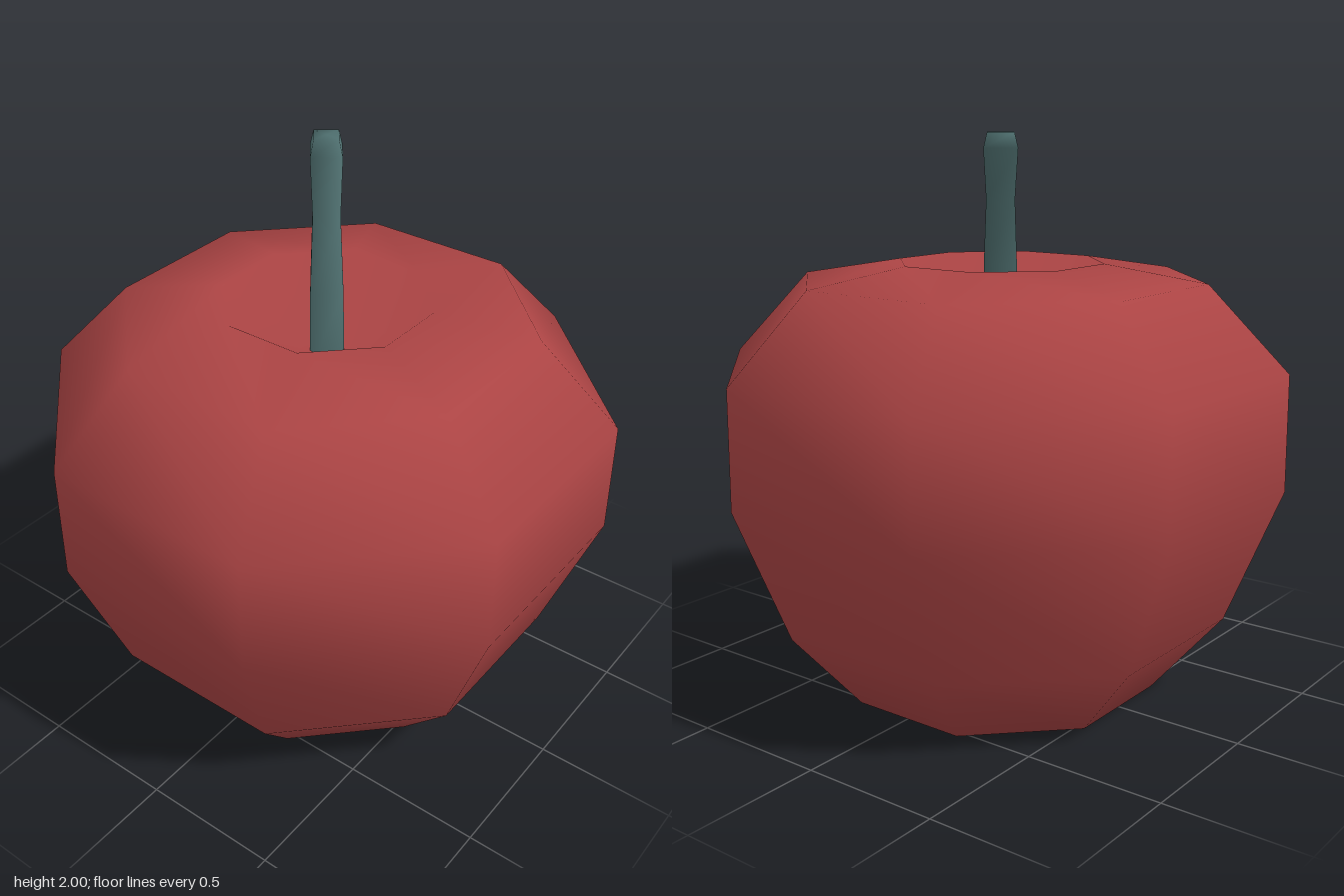
import * as THREE from 'three';
import { mergeVertices } from 'three/addons/utils/BufferGeometryUtils.js';

const red = new THREE.MeshStandardMaterial({ color: 0xab4444 });
red.name = 'apple red';
const teal = new THREE.MeshStandardMaterial({ color: 0x4d6d6d });
teal.name = 'stem teal';

// Merge seams and recompute normals so the low-poly form shades smoothly
function smooth(geometry) {
  geometry.deleteAttribute('uv');
  geometry.deleteAttribute('normal');
  const merged = mergeVertices(geometry, 1e-4);
  merged.computeVertexNormals();
  return merged;
}

// Eight-sided body with a dimple below and above; profile is [apothem, height]
function createBody() {
  const profile = [
    [0, 0.16], [0.25, 0.13], [0.53, 0], [0.765, 0.29], [0.945, 0.775],
    [0.943, 1.19], [0.68, 1.49], [0.345, 1.55], [0, 1.32],
  ];
  const toCorner = 1 / Math.cos(Math.PI / 8);
  const points = profile.map(([r, y]) => new THREE.Vector2(r * toCorner, y));
  const body = new THREE.Mesh(smooth(new THREE.LatheGeometry(points, 8, Math.PI / 8)), red);
  body.name = 'appleBody';
  return body;
}

// Four-sided stem leaning along its local +z; rings are [height, lean, halfWidth, halfDepth]
function createStem() {
  const rings = [
    [1.3, 0, 0.06, 0.045], [1.55, 0.075, 0.057, 0.05], [1.78, 0.2, 0.048, 0.052],
    [1.95, 0.315, 0.056, 0.066], [2, 0.335, 0.044, 0.046],
  ];
  const spans = rings.length - 1;
  const geometry = new THREE.CylinderGeometry(Math.SQRT2, Math.SQRT2, spans, 4, spans, false, Math.PI / 4);
  const pos = geometry.attributes.position;
  for (let i = 0; i < pos.count; i++) {
    const [y, lean, w, d] = rings[Math.round(pos.getY(i) + spans / 2)];
    pos.setXYZ(i, pos.getX(i) * w, y, lean + pos.getZ(i) * d);
  }
  const stem = new THREE.Mesh(smooth(geometry), teal);
  stem.name = 'stem';
  stem.rotation.y = Math.atan2(-0.61, -0.79);
  return stem;
}

export function createModel() {
  const apple = new THREE.Group();
  apple.name = 'apple';
  apple.add(createBody(), createStem());
  return apple;
}
